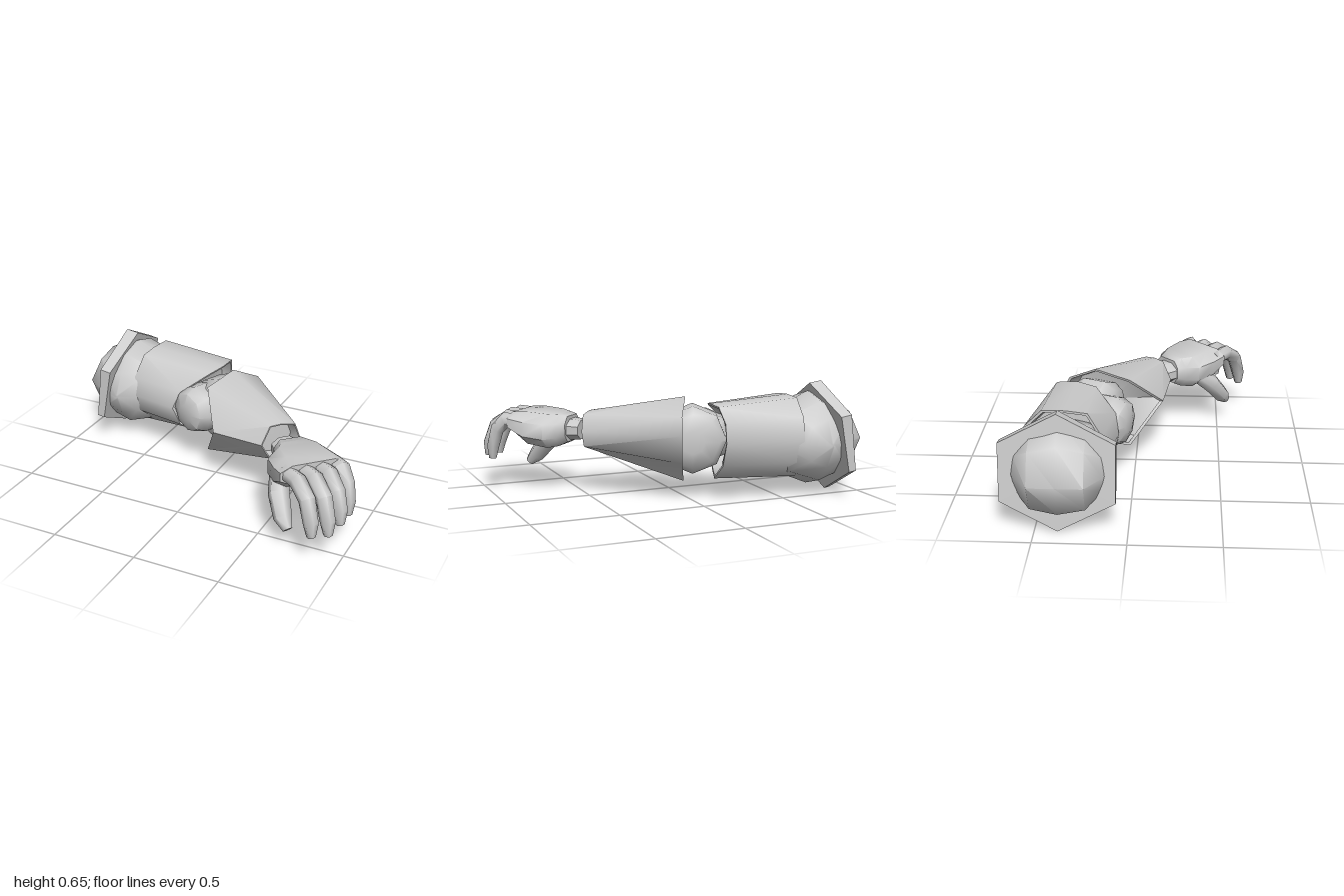
import * as THREE from 'three';
import { toCreasedNormals } from 'three/addons/utils/BufferGeometryUtils.js';

const V = (x, y, z) => new THREE.Vector3(x, y, z);
const material = new THREE.MeshStandardMaterial({ color: 0xcccccc });

// Skin a list of equal-length rings into a solid; loop joins last ring to first
function loft(rings, { loop = false, crease = 0.9 } = {}) {
  const n = rings[0].length, tris = [];
  const count = loop ? rings.length : rings.length - 1;
  for (let i = 0; i < count; i++) {
    const a = rings[i], b = rings[(i + 1) % rings.length];
    for (let j = 0; j < n; j++) {
      const k = (j + 1) % n;
      tris.push([a[j], a[k], b[k]], [a[j], b[k], b[j]]);
    }
  }
  if (!loop) {
    [rings[0], rings[rings.length - 1]].forEach((r, e) => {
      const c = center(r);
      for (let j = 0; j < n; j++) {
        const k = (j + 1) % n;
        tris.push(e ? [c, r[j], r[k]] : [c, r[k], r[j]]);
      }
    });
  }
  // turn the faces outward
  const volume = tris.reduce((s, [a, b, c]) => s + a.dot(b.clone().cross(c)), 0);
  const points = tris.flatMap(([a, b, c]) => (volume > 0 ? [a, b, c] : [a, c, b]));
  return toCreasedNormals(new THREE.BufferGeometry().setFromPoints(points), crease);
}

const center = (ring) => ring.reduce((s, p) => s.add(p), V(0, 0, 0)).divideScalar(ring.length);

function add(parent, name, geometry) {
  const mesh = new THREE.Mesh(geometry, material);
  mesh.name = name;
  parent.add(mesh);
  return mesh;
}

// Ring of n points around the z axis
const circle = (r, z, n, start = 0) => Array.from({ length: n }, (_, i) => {
  const a = start + (i / n) * Math.PI * 2;
  return V(r * Math.cos(a), r * Math.sin(a), z);
});

// Faceted ball joint; profile rows are half-width, half-height and depth along the axis
function ball(parent, name, profile, r, half, position, turn) {
  const mesh = add(parent, name, loft(profile.map(([w, h, d]) =>
    circle(r, d * half, 8).map((p) => V(p.x * w, p.y * h, p.z)))));
  mesh.position.set(...position);
  mesh.rotation.y = turn;
}

// Armour tube between two outlines, with a thin rim and a hollow at both ends
function shell(start, end, depth) {
  const a = start.map((p) => V(...p)), b = end.map((p) => V(...p));
  const ca = center(a), cb = center(b), axis = cb.clone().sub(ca).normalize();
  const inset = (r, c, s, d) => r.map((p) => p.clone().lerp(c, s).addScaledVector(axis, d));
  return loft([inset(a, ca, 0.12, depth), inset(a, ca, 0.06, 0), a, b,
    inset(b, cb, 0.06, 0), inset(b, cb, 0.12, -depth)]);
}

// Bevelled box outline across x
function slab([x, y0, y1, z0, z1]) {
  const h = (y1 - y0) * 0.28, w = (z1 - z0) * 0.18;
  return [[y0, z0 + w], [y0, z1 - w], [y0 + h, z1], [y1 - h, z1],
    [y1, z1 - w], [y1, z0 + w], [y1 - h, z0], [y0 + h, z0]].map(([y, z]) => V(x, y, z));
}

// Six-sided digit along a path lying near the x-y plane
function digit(path, radii) {
  const pts = path.map((p) => V(...p));
  return loft(pts.map((p, i) => {
    const t = pts[Math.min(i + 1, pts.length - 1)].clone().sub(pts[Math.max(i - 1, 0)]).normalize();
    const up = V(0, 0, 1).cross(t).normalize(), side = t.clone().cross(up);
    return circle(radii[i], 0, 6, Math.PI / 6).map((c) =>
      p.clone().addScaledVector(side, c.x * 1.05).addScaledVector(up, c.y));
  }), { crease: 1.1 });
}

export function createModel() {
  const arm = new THREE.Group();
  arm.name = 'armouredArm';

  ball(arm, 'shoulderBall', [[0.05, 0.05, -1], [0.53, 0.5, -0.8], [1, 0.84, -0.5], [1, 1, 0],
    [1, 0.84, 0.5], [0.53, 0.5, 0.8], [0.05, 0.05, 1]], 0.275, 0.295, [-0.725, 0.325, -0.37], 0);

  // Hexagonal band around the shoulder, narrowing towards the bottom
  const band = add(arm, 'shoulderBand', loft(
    [[0.325, -0.028], [0.325, 0.028], [0.22, 0.028], [0.22, -0.028]].map(([r, z]) =>
      circle(r, z, 6, Math.PI / 2).map((p) => V(p.x, p.y, z * (1 + p.y * 1.2)))),
    { loop: true, crease: 0.4 }).rotateY(Math.PI / 2).scale(1, 1, 1.1));
  band.position.set(-0.82, 0.33, -0.375);
  band.rotation.z = -0.15;

  // Upper arm, cut away at the front of the elbow
  add(arm, 'upperArm', shell(
    [[-0.61, 0.575, -0.23], [-0.635, 0.45, -0.15], [-0.645, 0.34, -0.125], [-0.635, 0.23, -0.15], [-0.62, 0.125, -0.25],
      [-0.6, 0.12, -0.46], [-0.58, 0.22, -0.56], [-0.58, 0.35, -0.6], [-0.58, 0.48, -0.58], [-0.59, 0.58, -0.48],
      [-0.6, 0.585, -0.35]],
    [[-0.15, 0.54, -0.22], [-0.29, 0.44, -0.1], [-0.335, 0.33, -0.08], [-0.29, 0.22, -0.1], [-0.19, 0.15, -0.2],
      [-0.1, 0.14, -0.42], [-0.12, 0.22, -0.49], [-0.13, 0.35, -0.515], [-0.13, 0.46, -0.5], [-0.11, 0.55, -0.45],
      [-0.11, 0.555, -0.33]], 0.06));

  // Elbow joint
  const joint = [[0.35, 0.35, -1], [0.8, 0.8, -0.85], [1, 1, -0.45], [1, 1, 0.45], [0.8, 0.8, 0.85], [0.35, 0.35, 1]];
  ball(arm, 'elbowBall', joint, 0.15, 0.15, [-0.165, 0.345, -0.165], -0.4);
  ball(arm, 'elbowHinge', joint, 0.195, 0.15, [-0.045, 0.345, -0.24], -0.4);

  // Forearm, wide at the elbow and narrow at the wrist
  add(arm, 'forearm', shell(
    [[0.06, 0.37, 0.16], [-0.07, 0.55, -0.03], [0, 0.59, -0.24], [0.09, 0.5, -0.4],
      [0.11, 0.4, -0.45], [0.08, 0.23, -0.38], [0.04, 0.115, -0.31], [-0.07, 0.135, -0.03]],
    [[0.38, 0.38, 0.2], [0.41, 0.485, 0.15], [0.46, 0.49, 0.1], [0.52, 0.475, 0.04],
      [0.54, 0.38, 0.01], [0.52, 0.29, 0.03], [0.48, 0.27, 0.08], [0.41, 0.28, 0.15]], 0.08));

  // Hand points along its own x axis, thumb side on +z
  const hand = new THREE.Group();
  hand.name = 'hand';
  hand.position.set(0.5, 0, 0.16);
  hand.rotation.y = -Math.PI / 4;
  arm.add(hand);

  add(hand, 'wrist', loft([[-0.03, 0.06], [0.02, 0.066], [0.07, 0.066]].map(([x, r]) =>
    circle(r, 0, 8, Math.PI / 8).map((c) => V(x, 0.375 + c.x, c.y * 1.4 - 0.015)))));
  add(hand, 'palm', loft([
    [0.04, 0.305, 0.455, -0.115, 0.075], [0.09, 0.28, 0.465, -0.14, 0.1],
    [0.15, 0.27, 0.47, -0.19, 0.155], [0.27, 0.29, 0.48, -0.215, 0.17],
    [0.365, 0.36, 0.475, -0.215, 0.17]].map(slab)));

  // Curled fingers: knuckle z, tip z, reach
  [[0.12, 0.085, 0.6], [0.025, -0.005, 0.615], [-0.07, -0.095, 0.565], [-0.165, -0.175, 0.49]]
    .forEach(([z0, z1, reach], i) => {
      const drop = i < 2 ? 0 : 0.02;
      const at = (k, y) => [0.32 + (reach - 0.32) * k, y, z0 + (z1 - z0) * k];
      add(hand, 'finger' + (i + 1), digit(
        [at(0, 0.42), at(0.45, 0.43), at(0.8, 0.37), at(0.97, 0.25 + drop), at(1, 0.175 + drop)],
        [0.044, 0.046, 0.044, 0.04, 0.024]));
    });
  add(hand, 'thumb', digit(
    [[0.19, 0.35, 0.1], [0.28, 0.27, 0.14], [0.37, 0.17, 0.15], [0.42, 0.12, 0.14]],
    [0.055, 0.058, 0.05, 0.026]));

  return arm;
}
